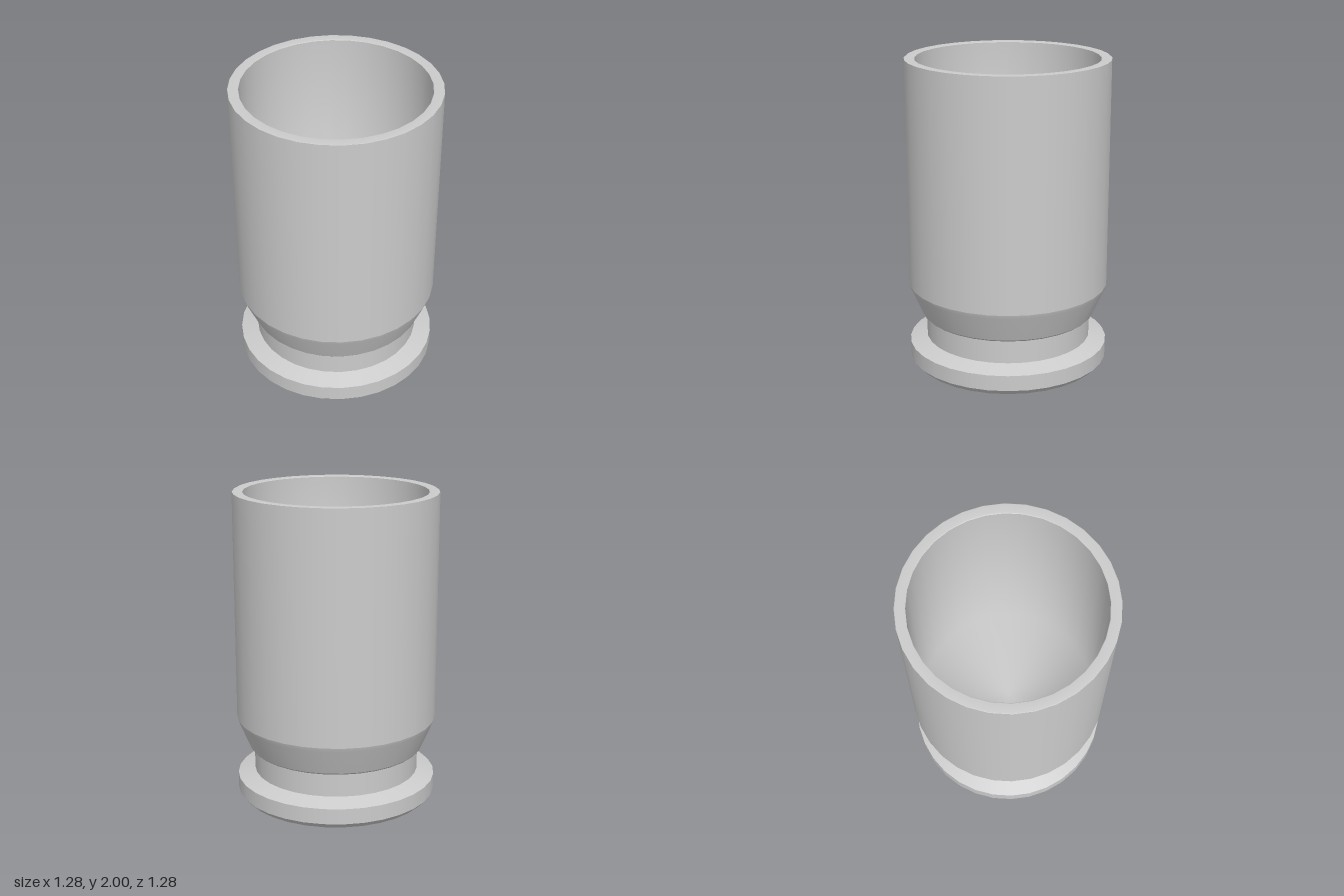
import * as THREE from 'three';

export function createModel() {
  const group = new THREE.Group();
  const material = new THREE.MeshStandardMaterial({ color: 0xcccccc });

  // Each part is a smooth turned band; splits between bands keep their edges sharp.
  const turn = (name, profile) => {
    const points = profile.map(([r, y]) => new THREE.Vector2(r, y));
    const mesh = new THREE.Mesh(new THREE.LatheGeometry(points, 32), material);
    mesh.name = name;
    group.add(mesh);
  };

  // Raised disc in the middle of the underside
  turn('baseDisc', [[0, 0], [0.28, 0.0], [0.315, 0.006], [0.335, 0.02]]);

  // Foot flange with bevelled edges
  turn('underside', [[0.335, 0.018], [0.605, 0.018]]);
  turn('flangeLowerBevel', [[0.605, 0.018], [0.64, 0.055]]);
  turn('flangeSide', [[0.64, 0.055], [0.64, 0.155]]);
  turn('flangeUpperBevel', [[0.64, 0.155], [0.53, 0.19]]);

  // Recessed neck and the ledge above it
  turn('neck', [[0.53, 0.19], [0.53, 0.345]]);
  turn('shoulderLedge', [[0.53, 0.345], [0.55, 0.345], [0.56, 0.355]]);

  // Flared shoulder running into the straight wall
  turn('shoulder', [[0.56, 0.355], [0.632, 0.525], [0.64, 0.55]]);
  turn('outerWall', [[0.64, 0.55], [0.64, 2]]);

  // Rim and hollow interior with its floor
  turn('rim', [[0.64, 1.996], [0.635, 2], [0.58, 2], [0.575, 1.996]]);
  turn('interior', [[0.575, 1.996], [0.575, 0.48], [0, 0.48]]);

  return group;
}
